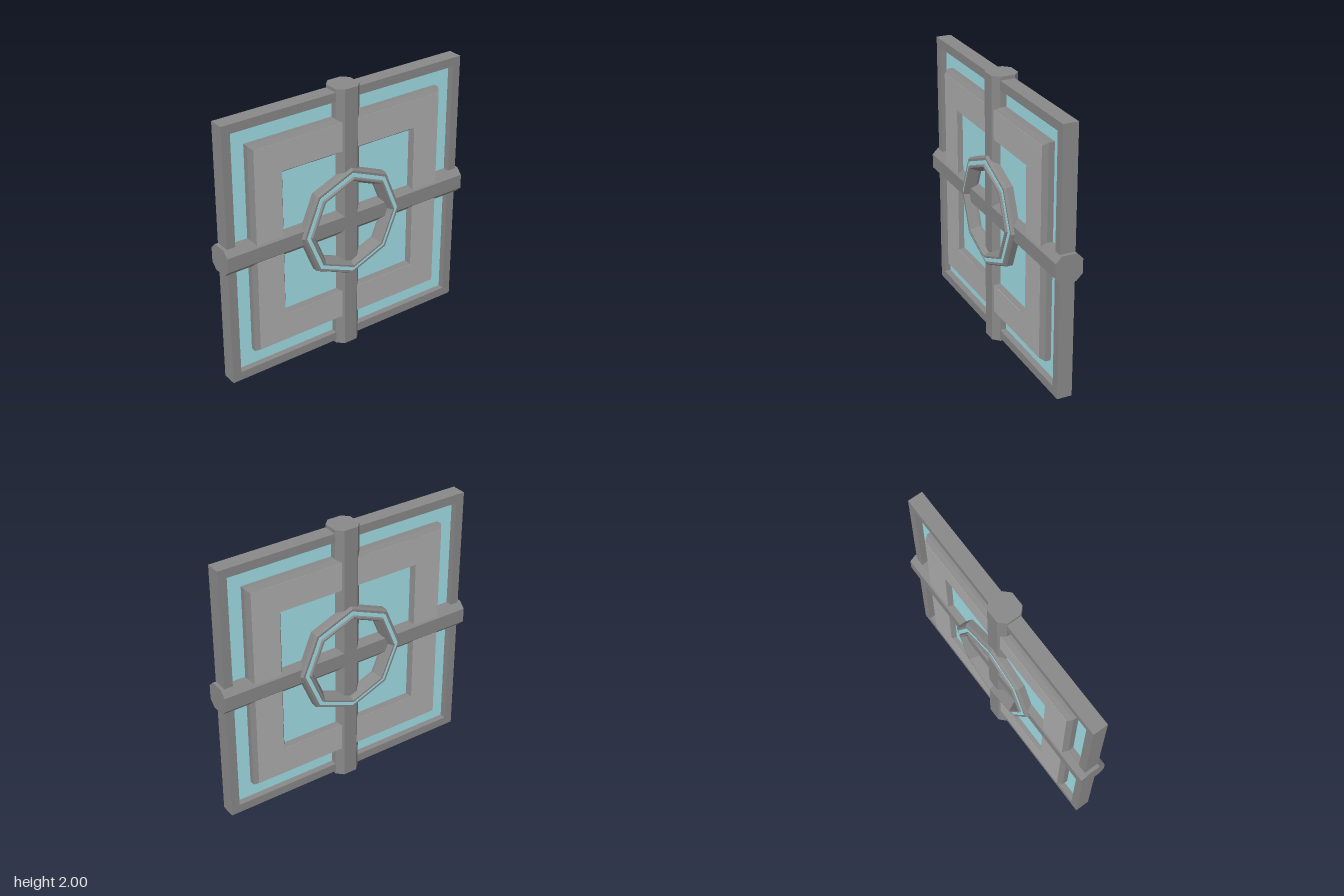
import * as THREE from 'three';

const metal = new THREE.MeshStandardMaterial({ color: 0x888888, flatShading: true });
const plate = new THREE.MeshStandardMaterial({ color: 0xadadad, flatShading: true });
const glass = new THREE.MeshStandardMaterial({ color: 0xa0dee5, flatShading: true });

export function createModel() {
  const group = new THREE.Group();
  const add = (name, geometry, material = metal) => {
    const mesh = new THREE.Mesh(geometry, material);
    mesh.name = name;
    mesh.position.y = 1;
    group.add(mesh);
  };

  // Polygonal ring about the x axis. The half profile [radius, x] runs from
  // the outer wall over the face to the inner wall and is mirrored across x = 0.
  const ring = (half, sides) => {
    const square = sides === 4;
    const k = square ? Math.SQRT2 : 1;
    const back = half.map(([r, x]) => [r, -x]).reverse();
    const points = [...half, ...back, half[0]].map(([r, x]) => new THREE.Vector2(r * k, x));
    return new THREE.LatheGeometry(points, sides, square ? Math.PI / 4 : 0)
      .toNonIndexed()
      .rotateZ(-Math.PI / 2);
  };

  // Chamfered octagonal bar running along z
  const bar = () => {
    const a = 0.098, b = 0.053;
    const shape = new THREE.Shape(
      [[a, -b], [a, b], [b, a], [-b, a], [-a, b], [-a, -b], [-b, -a], [b, -a]]
        .map(([x, y]) => new THREE.Vector2(x, y))
    );
    return new THREE.ExtrudeGeometry(shape, { depth: 2, bevelEnabled: false }).translate(0, 0, -1);
  };

  // Crossing bars
  add('horizontalBar', bar());
  add('verticalBar', bar().rotateX(Math.PI / 2));

  // Square window: outer frame and thin outer pane, bevelled panel with a
  // lighter face, and a thicker pane filling the panel's opening
  add('outerFrame', ring([[0.975, 0.055], [0.91, 0.055], [0.91, 0]], 4));
  add('outerPane', ring([[0.92, 0.008], [0.77, 0.008]], 4), glass);
  add('squarePanelTrim', ring([[0.788, 0.05], [0.763, 0.085], [0.553, 0.085], [0.527, 0.05], [0.527, 0]], 4));
  add('squarePanelFace', ring([[0.763, 0.0865], [0.553, 0.0865]], 4), plate);
  add('innerPane', new THREE.BoxGeometry(0.106, 1.06, 1.06), glass);

  // Octagonal hub: outer ring, glass band and raised inner ring
  add('hubOuterRing', ring([[0.416, 0.1], [0.404, 0.12], [0.385, 0.12], [0.37, 0.12], [0.37, 0]], 8));
  add('hubGlassBand', ring([[0.386, 0.122], [0.35, 0.122], [0.35, 0]], 8), glass);
  add('hubInnerRing', ring([[0.36, 0.115], [0.351, 0.136], [0.338, 0.136], [0.302, 0.07], [0.302, 0]], 8));

  return group;
}
